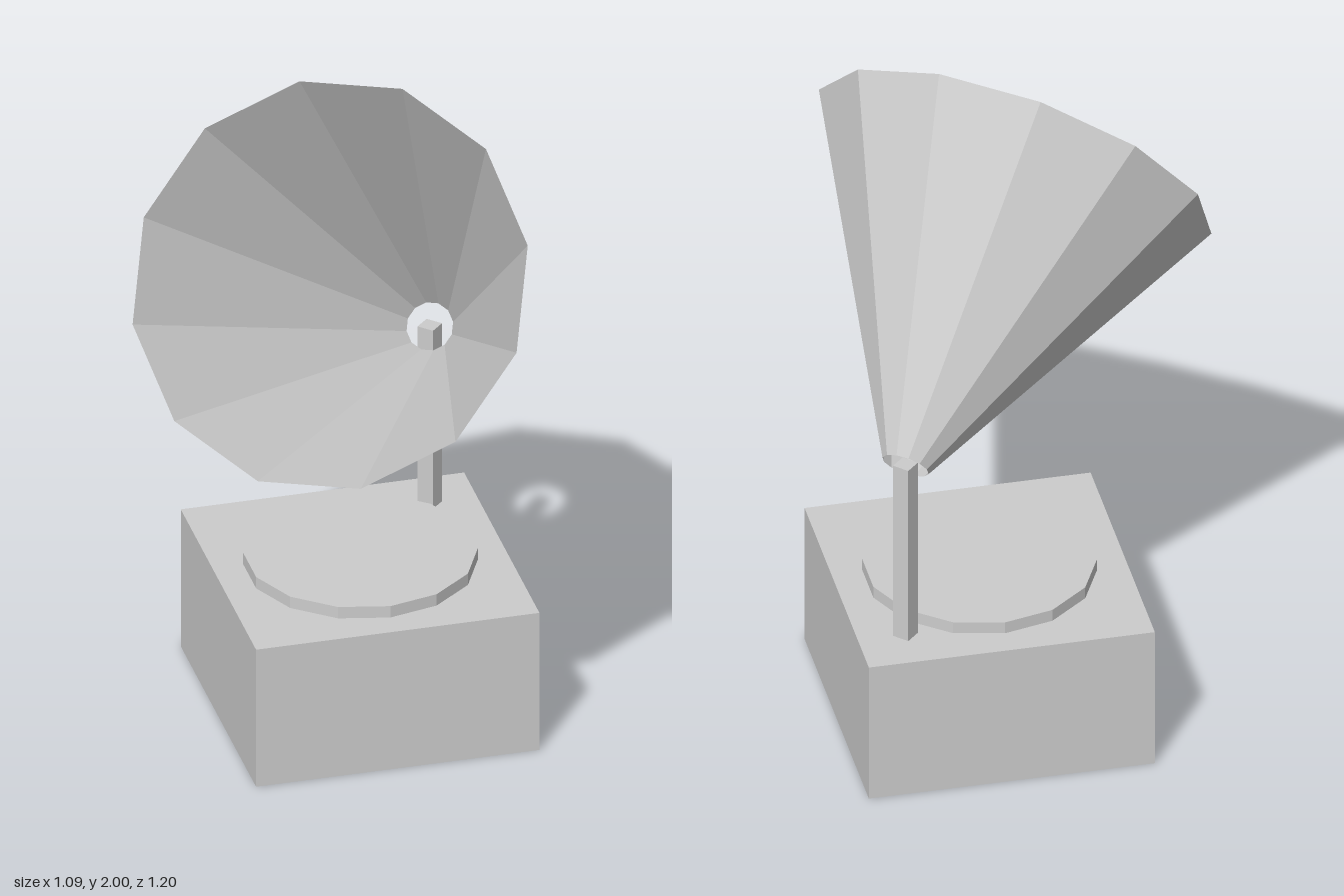
import * as THREE from 'three';

export function createModel() {
  const model = new THREE.Group();
  const grey = new THREE.MeshStandardMaterial({ color: 0xcccccc, flatShading: true, side: THREE.DoubleSide });
  grey.name = 'light grey';

  function addPart(name, geometry, x, y, z) {
    const mesh = new THREE.Mesh(geometry, grey);
    mesh.name = name;
    mesh.position.set(x, y, z);
    model.add(mesh);
    return mesh;
  }

  // Square cabinet with a fourteen-sided turntable on top
  const baseHeight = 0.435;
  addPart('cabinet', new THREE.BoxGeometry(0.81, baseHeight, 0.815), 0.14, baseHeight / 2, -0.1925);
  addPart('turntable', new THREE.CylinderGeometry(0.325, 0.325, 0.036, 14), 0.14, baseHeight + 0.018, -0.19);

  // Four-sided post, set cornerwise, at the back left corner
  const postTop = 1.0;
  addPart('post', new THREE.CylinderGeometry(0.035, 0.035, postTop - baseHeight, 4),
    0.41, (postTop + baseHeight) / 2, -0.46);

  // Open horn flaring from the post head up to its mouth
  const throat = new THREE.Vector3(0.41, 0.995, -0.46);
  const mouth = new THREE.Vector3(-0.04, 1.533, 0.165);
  const horn = addPart('horn',
    new THREE.CylinderGeometry(0.578, 0.068, throat.distanceTo(mouth), 12, 1, true),
    ...throat.clone().add(mouth).multiplyScalar(0.5).toArray());

  // Point the horn along its axis, with one rim corner towards the front
  const axis = mouth.clone().sub(throat).normalize();
  const side = axis.clone().cross(new THREE.Vector3(0.245, -0.298, 0.43)).normalize();
  const corner = side.clone().cross(axis);
  horn.quaternion.setFromRotationMatrix(new THREE.Matrix4().makeBasis(side, axis, corner));

  return model;
}
